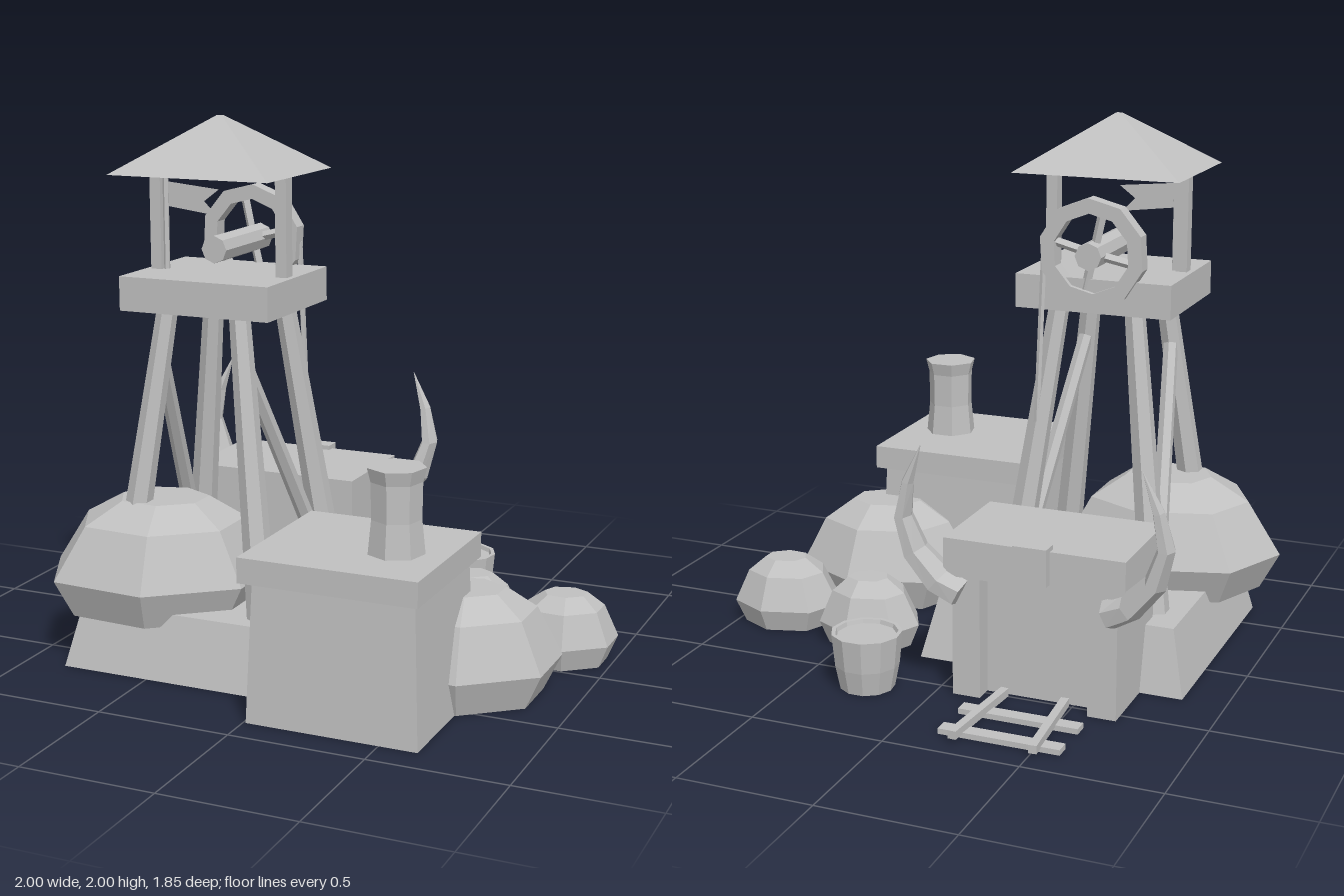
import * as THREE from 'three';

const stone = new THREE.MeshStandardMaterial({ color: 0xc0c0c0, flatShading: true, side: THREE.DoubleSide });
stone.name = 'plain grey';

export function createModel() {
  const model = new THREE.Group();
  model.name = 'mineHead';

  const add = (name, geometry, parent = model) => {
    const mesh = new THREE.Mesh(geometry, stone);
    mesh.name = name;
    parent.add(mesh);
    return mesh;
  };

  // Box from its limits
  const box = (name, x0, x1, y0, y1, z0, z1) => {
    const mesh = add(name, new THREE.BoxGeometry(x1 - x0, y1 - y0, z1 - z0));
    mesh.position.set((x0 + x1) / 2, (y0 + y1) / 2, (z0 + z1) / 2);
    return mesh;
  };

  // Round bar between two points
  const bar = (name, a, b, rA, rB, sides) => {
    const from = new THREE.Vector3(...a), to = new THREE.Vector3(...b);
    const dir = to.clone().sub(from);
    const mesh = add(name, new THREE.CylinderGeometry(rB, rA, dir.length(), sides));
    mesh.position.copy(from).add(to).multiplyScalar(0.5);
    mesh.quaternion.setFromUnitVectors(new THREE.Vector3(0, 1, 0), dir.normalize());
    return mesh;
  };

  // Skin over rings of points, bottom ring first
  const loft = (rings, closedBottom = true) => {
    const n = rings[0].length, index = [];
    for (let r = 0; r < rings.length - 1; r++) {
      for (let j = 0; j < n; j++) {
        const a = r * n + j, b = r * n + (j + 1) % n;
        index.push(a, a + n, b, b, a + n, b + n);
      }
    }
    const last = (rings.length - 1) * n;
    for (let j = 1; j < n - 1; j++) {
      index.push(last, last + j + 1, last + j);
      if (closedBottom) index.push(0, j, j + 1);
    }
    const g = new THREE.BufferGeometry();
    g.setAttribute('position', new THREE.Float32BufferAttribute(rings.flat(2), 3));
    g.setIndex(index);
    g.computeVertexNormals();
    return g;
  };

  const rect = (x0, x1, y, z0, z1) => [[x0, y, z0], [x1, y, z0], [x1, y, z1], [x0, y, z1]];

  // Sloping plinth, open underneath
  add('plinth', loft([rect(-0.84, 0.18, 0, -0.29, 0.67), rect(-0.785, 0.125, 0.24, -0.235, 0.615)], false));

  // Hut with slab roof and flared chimney
  add('hutWalls', loft([rect(0.01, 0.64, 0, 0.335, 0.885), rect(0.03, 0.62, 0.51, 0.355, 0.865)], false));
  box('hutRoof', 0, 0.65, 0.51, 0.6, 0.32, 0.92);
  const profile = [[0, 0.6], [0.1, 0.6], [0.088, 0.72], [0.09, 0.85], [0.103, 0.9], [0, 0.9]];
  const chimney = add('chimney', new THREE.LatheGeometry(profile.map(p => new THREE.Vector2(...p)), 7));
  chimney.position.set(0.467, 0, 0.655);

  // Faceted boulders sharing one outline
  const outline = [[-1, 0.06], [-0.71, -0.6], [0.2, -0.87], [0.95, -0.5], [0.95, 0.22], [0.25, 0.78], [-0.66, 0.72]];
  const layers = [[0, 0.82, 0], [0.33, 1, 0], [0.8, 0.72, 0.03], [1, 0.39, 0.06]];
  const boulder = (name, x, y, z, size, height) => add(name, loft(layers.map(([h, s, shift]) =>
    outline.map(([px, pz]) => [x + (px * s + shift) * size, y + h * height, z + pz * s * size]))));
  boulder('largeBoulder', -0.59, 0.19, 0.4, 0.41, 0.42);
  boulder('hutBoulder', 0.575, 0, 0.32, 0.345, 0.39);
  boulder('innerBoulder', 0.415, 0, -0.215, 0.188, 0.26);
  boulder('outerBoulder', 0.81, 0, -0.135, 0.2, 0.26);

  // Tower legs and side braces
  const cx = -0.385, cz = 0.217;
  for (const sx of [-1, 1]) {
    for (const sz of [-1, 1]) {
      bar('towerLeg', [cx + sx * 0.305, 0.05, cz + sz * 0.322],
        [cx + sx * 0.143, 1.33, cz + sz * 0.18], 0.058, 0.038, 6);
    }
    bar('towerBrace', [cx + sx * 0.275, 0.27, -0.05], [cx + sx * 0.17, 1.12, 0.4], 0.032, 0.028, 6);
  }
  box('platform', -0.68, -0.09, 1.31, 1.435, -0.02, 0.48);

  // Canopy on two posts
  box('leftPost', -0.155, -0.112, 1.435, 1.81, 0.23, 0.28);
  box('rightPost', -0.66, -0.617, 1.435, 1.81, 0.23, 0.28);
  add('canopy', loft([rect(-0.7, -0.07, 1.8, -0.02, 0.515), rect(cx - 0.01, cx + 0.01, 2, 0.24, 0.255)]));

  // Swallowtail flag
  bar('flagPole', [-0.607, 1.435, 0.255], [-0.607, 1.79, 0.255], 0.012, 0.012, 5);
  const flag = new THREE.Shape([[-0.6, 1.755], [-0.39, 1.735], [-0.45, 1.69], [-0.4, 1.64], [-0.6, 1.665]]
    .map(p => new THREE.Vector2(...p)));
  add('flag', new THREE.ShapeGeometry(flag)).position.z = 0.255;

  // Winding wheel, axle, spokes and rope
  const ringPoints = r => Array.from({ length: 10 }, (_, i) => {
    const a = (i + 0.4) * Math.PI / 5;
    return new THREE.Vector2(Math.cos(a) * r, Math.sin(a) * r);
  });
  const rim = new THREE.Shape(ringPoints(0.2));
  rim.holes.push(new THREE.Path(ringPoints(0.145)));
  add('wheelRim', new THREE.ExtrudeGeometry(rim, { depth: 0.06, bevelEnabled: false })).position.set(cx, 1.53, -0.04);
  bar('axle', [cx, 1.525, -0.07], [cx, 1.525, 0.31], 0.05, 0.05, 8);
  for (let i = 0; i < 4; i++) {
    const a = 0.22 + i * Math.PI / 2;
    bar('wheelSpoke', [cx, 1.525, -0.01], [cx + Math.cos(a) * 0.16, 1.53 + Math.sin(a) * 0.16, -0.01], 0.017, 0.017, 4);
  }
  bar('rope', [-0.2, 1.52, -0.02], [-0.18, 0.66, -0.055], 0.011, 0.011, 5);

  // Mine entrance with recessed doorway
  box('entranceBody', -0.68, -0.065, 0, 0.46, -0.48, -0.15);
  box('entrancePillarRight', -0.68, -0.575, 0, 0.46, -0.55, -0.48);
  box('entrancePillarLeft', -0.17, -0.065, 0, 0.46, -0.55, -0.48);
  box('entranceRoof', -0.71, -0.035, 0.45, 0.59, -0.56, -0.13);
  box('entrancePlaque', -0.435, -0.31, 0.47, 0.607, -0.595, -0.53);

  // Curved horns either side of the entrance
  const path = [[-0.1, 0.39, 0.055, 0.075, -0.545], [-0.02, 0.43, 0.05, 0.085, -0.55], [0.07, 0.53, 0.042, 0.07, -0.56],
    [0.11, 0.66, 0.032, 0.05, -0.575], [0.085, 0.79, 0.022, 0.03, -0.588], [0.03, 0.93, 0.001, 0.001, -0.6]];
  const hornRings = path.map(([x, y, thick, deep, z], i) => {
    const p = path[Math.max(i - 1, 0)], q = path[Math.min(i + 1, path.length - 1)];
    const len = Math.hypot(q[0] - p[0], q[1] - p[1]);
    const nx = (q[1] - p[1]) / len, ny = -(q[0] - p[0]) / len;
    return Array.from({ length: 6 }, (_, k) => {
      const a = k * Math.PI / 3, s = Math.cos(a) * thick;
      return [x + nx * s + 0.373, y + ny * s, z + Math.sin(a) * deep];
    });
  });
  for (const side of [1, -1]) {
    const horn = add(side > 0 ? 'leftHorn' : 'rightHorn', loft(hornRings));
    horn.position.x = -0.373;
    horn.scale.x = side;
  }

  // Track leading out of the entrance
  for (const s of [-1, 1]) {
    const rail = box('rail', -0.015, 0.015, 0.015, 0.045, -0.2, 0.2);
    rail.position.set(-0.37 + s * 0.13, 0.03, -0.725);
    rail.rotation.y = -s * 0.08;
  }
  for (const z of [-0.847, -0.672]) box('sleeper', -0.595, -0.15, 0, 0.02, z - 0.028, z + 0.028);

  // Bucket with slightly bulging staves
  const staves = [[0, 0], [0.1, 0], [0.118, 0.09], [0.13, 0.21], [0.115, 0.21], [0.11, 0.195], [0, 0.195]];
  const bucket = add('bucket', new THREE.LatheGeometry(staves.map(p => new THREE.Vector2(...p)), 11));
  bucket.position.set(0.25, 0, -0.6);

  return model;
}
